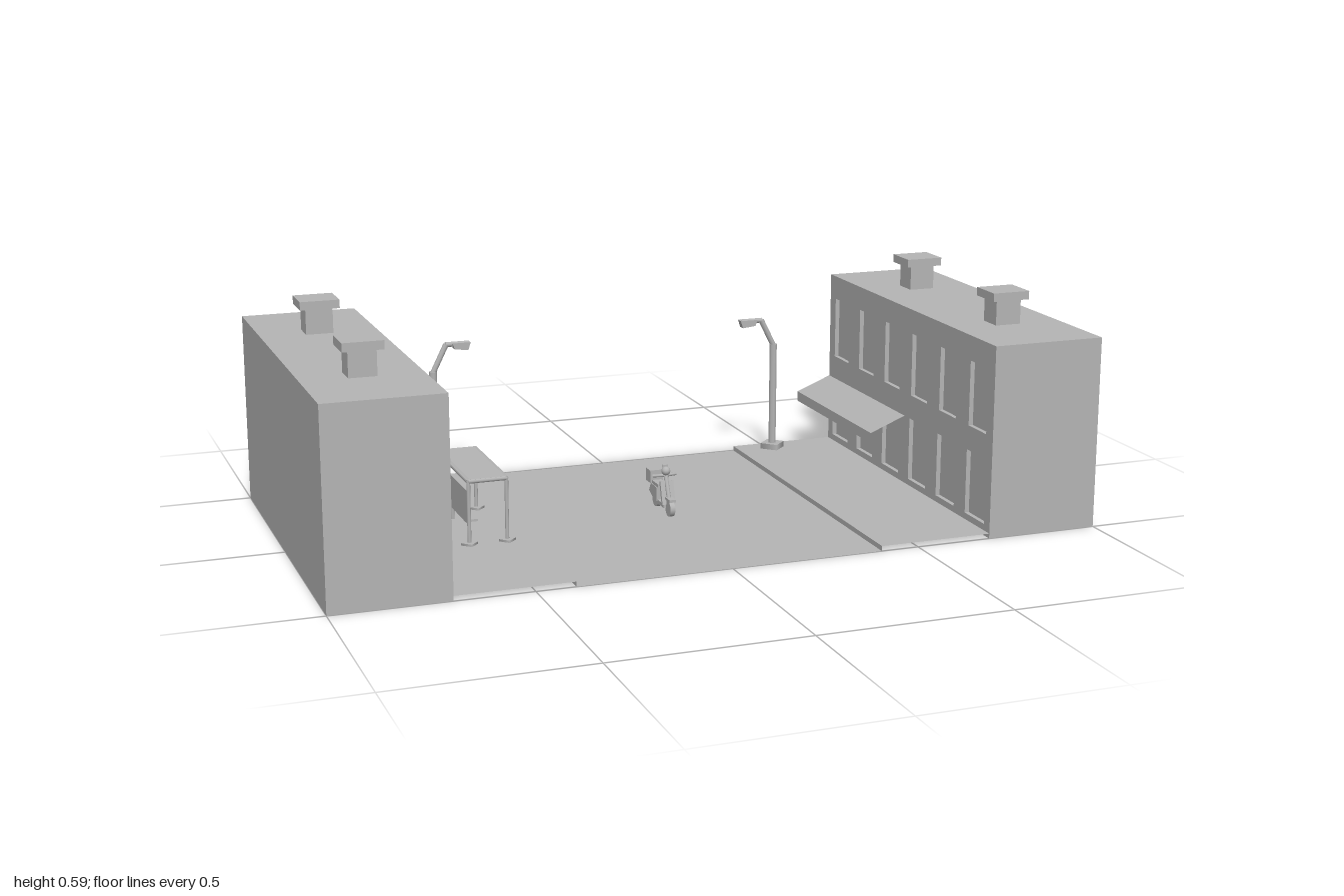
import * as THREE from 'three';

const stone = new THREE.MeshStandardMaterial({ color: 0xb4b4b4, side: THREE.DoubleSide });
stone.name = 'grey stone';
const PAVE = 0.013;

function add(parent, name, geo, x = 0, y = 0, z = 0) {
  const m = new THREE.Mesh(geo, stone);
  m.name = name;
  m.position.set(x, y, z);
  parent.add(m);
  return m;
}
// box from its lower centre
const box = (p, name, w, h, d, x, y, z) => add(p, name, new THREE.BoxGeometry(w, h, d), x, y + h / 2, z);

function group(parent, name) {
  const g = new THREE.Group();
  g.name = name;
  parent.add(g);
  return g;
}

// round bar between two points
function bar(p, name, a, b, r, sides = 8) {
  const A = new THREE.Vector3(...a), B = new THREE.Vector3(...b);
  const m = add(p, name, new THREE.CylinderGeometry(r, r, A.distanceTo(B), sides));
  m.position.copy(A).add(B).multiplyScalar(0.5);
  m.quaternion.setFromUnitVectors(new THREE.Vector3(0, 1, 0), B.sub(A).normalize());
  return m;
}

// flat sheet through four corners
function sheet(p, name, corners) {
  const g = new THREE.BufferGeometry();
  g.setAttribute('position', new THREE.Float32BufferAttribute(corners.flat(), 3));
  g.setIndex([0, 1, 2, 0, 2, 3]);
  g.computeVertexNormals();
  return add(p, name, g);
}

// terrace with recessed openings in the wall that faces the street
function building(parent, side) {
  const g = group(parent, side < 0 ? 'rightBuilding' : 'leftBuilding');
  const recess = 0.012;
  box(g, 'block', 0.3 - recess, 0.5, 1, side * (0.85 + recess / 2), 0, 0);
  const wall = new THREE.Shape([[-0.5, 0], [0.5, 0], [0.5, 0.5], [-0.5, 0.5]].map(q => new THREE.Vector2(...q)));
  for (let i = 0; i < 6; i++) {
    const c = -0.417 + i * 0.1667;
    for (const [w, y0, y1] of [[0.095, 0.265, 0.435], [0.105, 0.03, 0.2]]) {
      wall.holes.push(new THREE.Path([[c - w / 2, y0], [c - w / 2, y1], [c + w / 2, y1], [c + w / 2, y0]]
        .map(q => new THREE.Vector2(...q))));
    }
  }
  const facade = add(g, 'facade', new THREE.ExtrudeGeometry(wall, { depth: recess, bevelEnabled: false }));
  facade.rotation.y = -side * Math.PI / 2;
  facade.position.x = side * (0.7 + recess);
  for (const z of [-0.25, 0.25]) {
    box(g, 'chimneyStack', 0.07, 0.066, 0.066, side * 0.85, 0.5, z);
    box(g, 'chimneyCap', 0.102, 0.022, 0.093, side * 0.85, 0.566, z);
  }
}

// raised pavement and kerb
function pavement(parent, side) {
  const g = group(parent, 'pavement');
  const a = side * 0.4, b = side * 0.7;
  const c = [[a, PAVE, 0.5], [b, PAVE, 0.5], [b, PAVE, -0.5], [a, PAVE, -0.5]];
  sheet(g, 'pavementTop', side > 0 ? c : c.reverse());
  const k = [[a, 0, -0.5], [a, 0, 0.5], [a, PAVE, 0.5], [a, PAVE, -0.5]];
  sheet(g, 'kerb', side > 0 ? k : k.reverse());
}

// street lamp whose arm reaches over the road
function lamp(parent, side) {
  const g = group(parent, 'streetLamp');
  const p = (x, y) => [side * x, y, -0.45];
  add(g, 'lampFoot', new THREE.CylinderGeometry(0.036, 0.036, 0.016, 4), side * 0.5, PAVE + 0.008, -0.45);
  bar(g, 'lampPost', p(0.5, 0.02), p(0.5, 0.32), 0.011);
  bar(g, 'lampElbow', p(0.5, 0.316), p(0.462, 0.392), 0.008);
  bar(g, 'lampArm', p(0.464, 0.392), p(0.4, 0.392), 0.007);
  const head = new THREE.Shape([[0.395, 0.396], [0.446, 0.396], [0.44, 0.379], [0.402, 0.375]]
    .map(([x, y]) => new THREE.Vector2(side * x, y)));
  add(g, 'lampHead', new THREE.ExtrudeGeometry(head, { depth: 0.022, bevelEnabled: false }), 0, 0, -0.461);
}

function busShelter(parent) {
  const g = group(parent, 'busShelter');
  const xs = [-0.563, -0.465], zs = [-0.157, 0.137];
  for (const x of xs) {
    for (const z of zs) {
      bar(g, 'shelterPost', [x, PAVE, z], [x, 0.178, z], 0.005);
      add(g, 'postFoot', new THREE.CylinderGeometry(0.022, 0.022, 0.006, 4), x, PAVE + 0.003, z);
    }
    bar(g, 'roofSideRail', [x, 0.177, zs[0]], [x, 0.177, zs[1]], 0.006);
  }
  for (const z of zs) bar(g, 'roofEndRail', [xs[0], 0.177, z], [xs[1], 0.177, z], 0.006);
  box(g, 'shelterRoof', 0.106, 0.006, 0.3, -0.514, 0.176, -0.01);
  box(g, 'backPanel', 0.004, 0.085, 0.29, -0.563, 0.065, -0.01);
  box(g, 'benchSeat', 0.032, 0.006, 0.22, -0.546, 0.06, -0.01);
  for (const z of [-0.09, 0.07]) bar(g, 'benchLeg', [-0.546, PAVE, z], [-0.546, 0.062, z], 0.004);
}

function litterBin(parent) {
  const g = group(parent, 'litterBin');
  bar(g, 'binPole', [-0.558, PAVE, -0.283], [-0.558, 0.115, -0.283], 0.005);
  box(g, 'binBody', 0.026, 0.06, 0.034, -0.549, 0.066, -0.283);
  box(g, 'binLid', 0.031, 0.008, 0.04, -0.549, 0.124, -0.283);
}

// small delivery scooter pointing to the front
function scooter(parent) {
  const g = group(parent, 'scooter');
  for (const z of [-0.042, 0.058]) {
    const wheel = add(g, 'wheel', new THREE.CylinderGeometry(0.021, 0.021, 0.013, 16), 0, 0.026, z);
    wheel.rotation.z = Math.PI / 2;
  }
  box(g, 'footboard', 0.026, 0.01, 0.075, 0, 0.024, 0.005);
  const rear = new THREE.Shape([[-0.065, 0.045], [-0.05, 0.068], [-0.005, 0.066], [-0.005, 0.03], [-0.02, 0.026]]
    .map(([z, y]) => new THREE.Vector2(-z, y)));
  const body = add(g, 'rearBody', new THREE.ExtrudeGeometry(rear, { depth: 0.03, bevelEnabled: false }), -0.015);
  body.rotation.y = Math.PI / 2;
  box(g, 'seat', 0.026, 0.009, 0.045, 0, 0.067, -0.024);
  box(g, 'deliveryBox', 0.036, 0.034, 0.034, 0, 0.068, -0.064);
  const shield = box(g, 'legShield', 0.036, 0.062, 0.008, 0, 0.032, 0.036);
  shield.rotation.x = -0.28;
  bar(g, 'fork', [0, 0.026, 0.058], [0, 0.11, 0.022], 0.006);
  box(g, 'frontMudguard', 0.018, 0.007, 0.038, 0, 0.047, 0.058);
  for (const s of [-1, 1]) bar(g, 'handlebar', [0, 0.107, 0.024], [s * 0.032, 0.105, 0.012], 0.004);
  add(g, 'headlamp', new THREE.SphereGeometry(0.012, 12, 8), 0, 0.119, 0.024);
  box(g, 'windscreen', 0.014, 0.018, 0.006, 0, 0.117, 0.02);
}

export function createModel() {
  const model = new THREE.Group();
  model.name = 'streetScene';
  sheet(model, 'road', [[-0.4, 0, 0.5], [0.4, 0, 0.5], [0.4, 0, -0.5], [-0.4, 0, -0.5]]);
  for (const side of [-1, 1]) {
    building(model, side);
    pavement(model, side);
    lamp(model, side);
  }
  // shop awning on one terrace
  const awning = group(model, 'awning');
  sheet(awning, 'awningSlope', [[0.6, 0.16, -0.5], [0.6, 0.16, 0], [0.7, 0.2, 0], [0.7, 0.2, -0.5]]);
  sheet(awning, 'awningValance', [[0.6, 0.132, -0.5], [0.6, 0.132, 0], [0.6, 0.16, 0], [0.6, 0.16, -0.5]]);
  busShelter(model);
  litterBin(model);
  scooter(model);
  return model;
}
